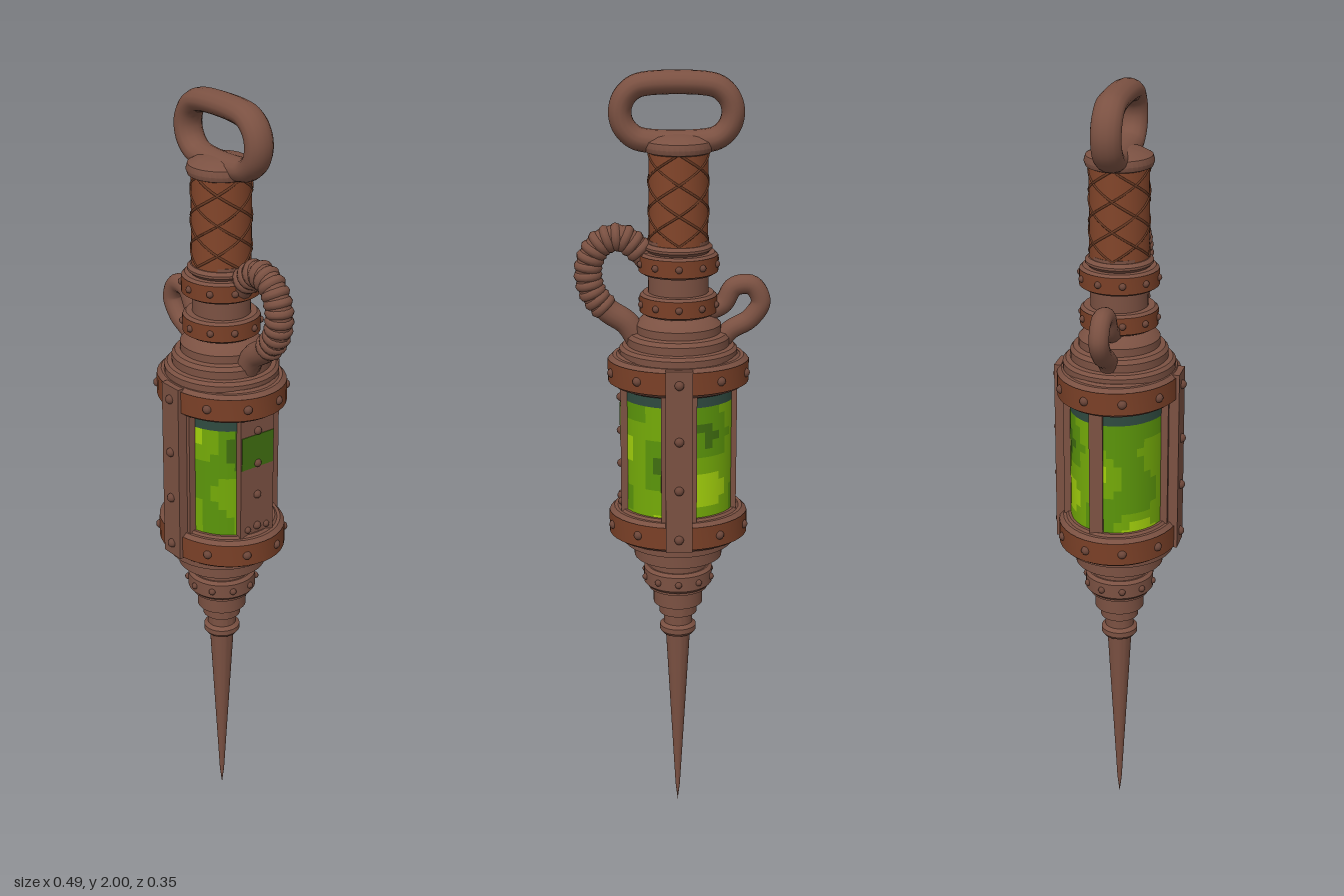
import * as THREE from 'three';
import { toCreasedNormals } from 'three/addons/utils/BufferGeometryUtils.js';

const material = (name, color) => {
  const m = new THREE.MeshStandardMaterial({ color });
  m.name = name;
  return m;
};

export function createModel() {
  const metal = material('brown metal', 0x7b5142);
  const copper = material('rusty copper', 0x7a4027);
  const darkMetal = material('rivet metal', 0x6c4639);
  const leather = material('grip leather', 0x82452a);
  const cord = material('dark cord', 0x683a24);
  const fluids = [
    material('murky teal', 0x2f4a40), material('dark green', 0x406e10),
    material('mid green', 0x5b950a), material('green', 0x74aa08), material('bright lime', 0xa2d00c),
  ];

  const model = new THREE.Group();
  const body = new THREE.Group();
  body.name = 'injectorBody';
  body.position.x = -0.015;
  model.add(body);

  const add = (name, geometry, mat, parent = body) => {
    const mesh = new THREE.Mesh(geometry, mat);
    mesh.name = name;
    parent.add(mesh);
    return mesh;
  };
  // Turned part from [radius, height] points, bottom to top, optionally oval
  const turned = (name, points, mat, oval = 1) => {
    const g = new THREE.LatheGeometry(points.map(p => new THREE.Vector2(...p)), 40);
    g.scale(1, 1, oval);
    return add(name, toCreasedNormals(g, 0.6), mat);
  };
  // Chamfered metal ring, and one with a copper face on its outer wall
  const band = (name, r, y0, y1, oval = 1, c = 0.008) => turned(name,
    [[r * 0.6, y0], [r - c, y0], [r, y0 + c], [r, y1 - c], [r - c, y1], [r * 0.6, y1]], metal, oval);
  const copperBand = (name, r, y0, y1, oval, c) => {
    band(name, r, y0, y1, oval, c);
    turned(name + 'Face', [[r + 0.001, y0 + c * 0.7], [r + 0.001, y1 - c * 0.7]], copper, oval);
  };
  const rivetGeometry = new THREE.SphereGeometry(1, 10, 8);
  const rivet = (x, y, z, r = 0.011) => {
    const m = add('rivet', rivetGeometry, darkMetal);
    m.position.set(x, y, z);
    m.scale.setScalar(r);
  };
  const rivetRing = (n, r, y, oval, size) => {
    for (let i = 0; i < n; i++) {
      const a = i / n * Math.PI * 2;
      rivet(Math.sin(a) * r, y, Math.cos(a) * r * oval, size);
    }
  };

  // Needle and stepped nozzle
  turned('needle', [[0, 0], [0.006, 0.05], [0.033, 0.53]], metal);
  turned('nozzle', [
    [0, 0.52], [0.042, 0.52], [0.048, 0.528], [0.048, 0.542], [0.038, 0.55], [0.038, 0.575], [0.05, 0.58],
    [0.05, 0.605], [0.065, 0.61], [0.065, 0.65], [0.078, 0.655], [0.078, 0.735], [0.092, 0.74],
    [0.115, 0.748], [0.115, 0.785], [0.142, 0.79], [0.142, 0.82], [0, 0.82]], metal);
  band('nozzleBand', 0.09, 0.663, 0.718);
  rivetRing(10, 0.09, 0.69, 1, 0.009);

  // Oval chamber collars
  const OVAL = 0.87;
  for (const [name, y0, y1] of [['lowerCollar', 0.808, 0.885], ['upperCollar', 1.22, 1.295]]) {
    copperBand(name, 0.179, y0, y1, OVAL, 0.012);
    band(name + 'Lip', 0.16, y0 - 0.006, y1 + 0.006, OVAL);
    rivetRing(10, 0.177, (y0 + y1) / 2, OVAL, 0.012);
  }

  // Fluid chamber with blotches of green
  const cols = 40, rows = 16, y0 = 0.875, y1 = 1.23;
  const fluid = new THREE.CylinderGeometry(0.144, 0.144, y1 - y0, cols, rows, true);
  fluid.clearGroups();
  const blotch = (a, y) => Math.sin(3 * a + 4 * y) + Math.sin(5 * a - 7 * y + 1) + Math.sin(2 * a + 10 * y);
  // Faces run column by column down each row of the tube
  for (let c = 0; c < cols; c++) for (let r = 0; r < rows; r++) {
    const v = blotch(c / cols * Math.PI * 2, r / rows) * 0.5 + 2.1 + r / rows * 0.9;
    fluid.addGroup((c * rows + r) * 6, 6, r < 2 ? 0 : THREE.MathUtils.clamp(Math.round(v), 1, 4));
  }
  fluid.scale(1, 1, OVAL);
  add('fluidChamber', fluid, fluids).position.y = (y0 + y1) / 2;

  // Riveted struts round the chamber
  const strut = (name, w, h, d, x, y, z) =>
    add(name, new THREE.BoxGeometry(w, h, d), metal).position.set(x, y, z);
  for (const s of [1, -1]) {
    strut('mainStrut', 0.068, 0.48, 0.04, 0, 1.053, s * 0.142);
    strut('strutRail', 0.09, 0.35, 0.024, 0, 1.053, s * 0.125);
    for (const y of [0.847, 0.98, 1.11, 1.257]) rivet(0, y, s * 0.162, 0.012);
  }
  strut('leftStrut', 0.04, 0.35, 0.105, 0.128, 1.053, 0);
  strut('rightStrut', 0.03, 0.35, 0.035, -0.134, 1.053, -0.025);
  for (const y of [0.91, 1.0, 1.09, 1.18]) rivet(0.148, y, 0, 0.011);
  for (const s of [1, -1]) rivet(0.148, 0.905, s * 0.03, 0.009);
  add('strutStain', new THREE.BoxGeometry(0.006, 0.09, 0.1), fluids[1]).position.set(0.147, 1.125, 0);

  // Stepped shoulder and neck
  turned('shoulder', [
    [0.15, 1.285], [0.15, 1.312], [0.142, 1.32], [0.13, 1.322], [0.13, 1.342], [0.122, 1.352],
    [0.108, 1.355], [0.108, 1.375], [0.09, 1.395], [0.076, 1.4], [0.076, 1.59], [0, 1.59]], metal, 0.95);
  for (const [r, y] of [[0.097, 1.43], [0.099, 1.533]]) {
    copperBand('neckBand', r, y - 0.027, y + 0.027, 1, 0.008);
    rivetRing(10, r, y, 1, 0.009);
  }
  band('gripFoot', 0.085, 1.56, 1.582);

  // Leather grip with crossed cord wrapping
  turned('grip', [[0.074, 1.575], [0.074, 1.82]], leather);
  for (const dir of [1, -1]) for (let k = 0; k < 4; k++) {
    const points = [];
    for (let i = 0; i <= 20; i++) {
      const a = dir * (i / 20 * Math.PI * 1.5) + k * Math.PI / 2;
      points.push(new THREE.Vector3(Math.sin(a) * 0.074, 1.585 + i / 20 * 0.225, Math.cos(a) * 0.074));
    }
    add('gripCord', new THREE.TubeGeometry(new THREE.CatmullRomCurve3(points), 36, 0.0032, 5), cord);
  }
  turned('gripCap', [[0.07, 1.803], [0.082, 1.808], [0.086, 1.82], [0.082, 1.834],
    [0.06, 1.846], [0.03, 1.852], [0, 1.853]], metal);

  // Rounded pull handle
  const loop = [];
  for (const side of [1, -1]) for (let i = 0; i <= 6; i++) {
    const a = -Math.PI / 2 + i / 6 * Math.PI;
    loop.push(new THREE.Vector3(0.005 + side * (0.068 + Math.cos(a) * 0.07), 1.902 + side * Math.sin(a) * 0.069, 0));
  }
  const handle = new THREE.TubeGeometry(new THREE.CatmullRomCurve3(loop, true), 80, 0.029, 14, true);
  handle.scale(1, 1, 1.3);
  add('handle', handle, metal);

  // Side hoses
  const hose = (name, points, r) => {
    const curve = new THREE.CatmullRomCurve3(points.map(p => new THREE.Vector3(p[0], p[1], 0)));
    add(name, new THREE.TubeGeometry(curve, 48, r, 14), metal, model);
    return curve;
  };
  hose('smallHose', [[-0.11, 1.31], [-0.145, 1.355], [-0.195, 1.385], [-0.223, 1.43], [-0.2, 1.472],
    [-0.155, 1.468], [-0.128, 1.425], [-0.09, 1.405]], 0.025);
  const big = hose('ribbedHose', [[0.08, 1.32], [0.115, 1.375], [0.165, 1.41], [0.203, 1.46], [0.21, 1.525],
    [0.18, 1.58], [0.13, 1.595], [0.09, 1.57], [0.06, 1.535]], 0.031);
  for (let i = 0; i < 14; i++) {
    const t = 0.3 + i / 13 * 0.62;
    const rib = add('hoseRib', new THREE.TorusGeometry(0.023, 0.0135, 8, 18), metal, model);
    rib.position.copy(big.getPointAt(t));
    rib.quaternion.setFromUnitVectors(new THREE.Vector3(0, 0, 1), big.getTangentAt(t));
  }
  return model;
}
